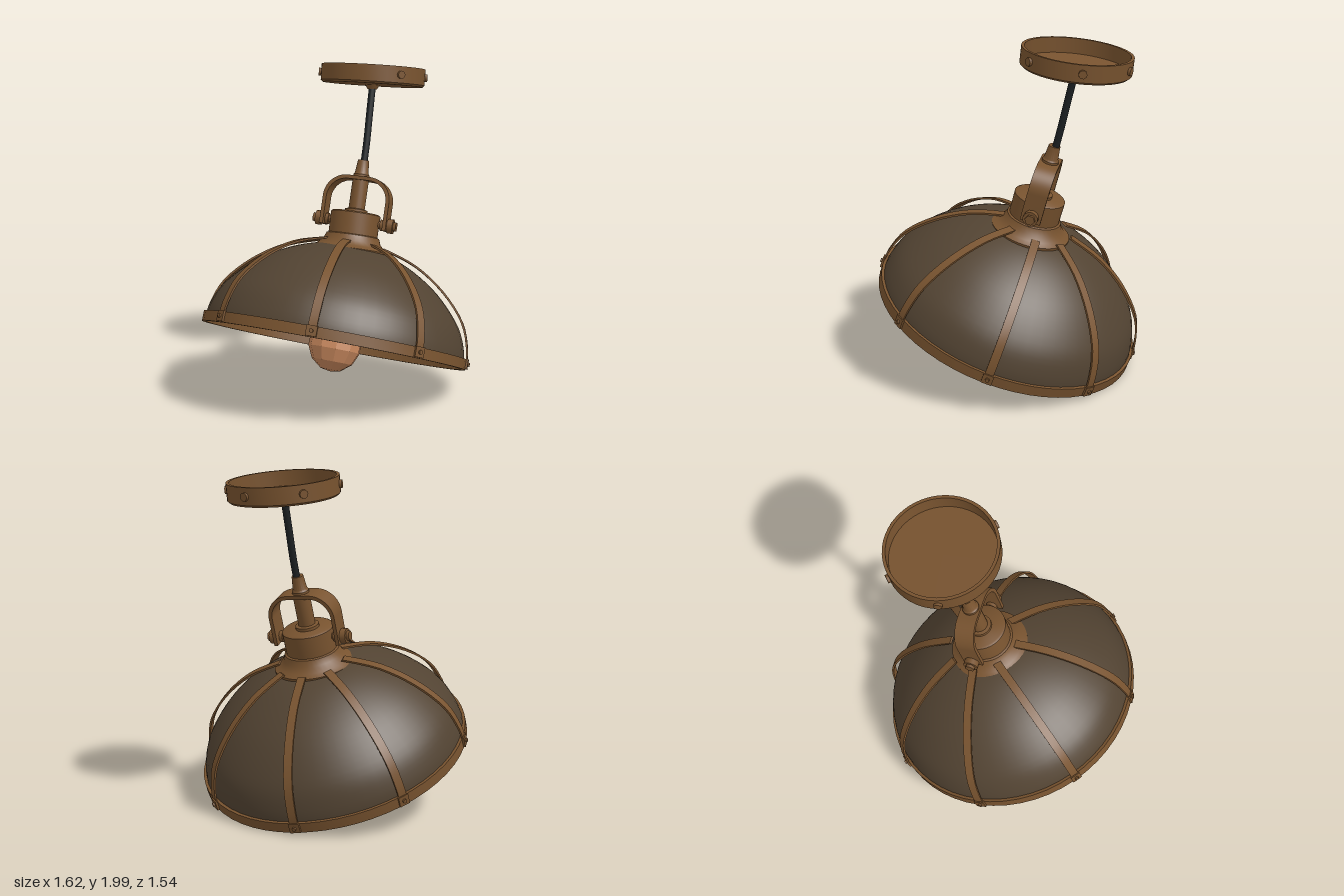
import * as THREE from 'three';
import { toCreasedNormals } from 'three/addons/utils/BufferGeometryUtils.js';

const material = (name, color, extra = {}) => {
  const m = new THREE.MeshStandardMaterial({ color, ...extra });
  m.name = name;
  return m;
};
const V = (p) => new THREE.Vector2(p[0], p[1]);

export function createModel() {
  const bronze = material('bronze', 0x78532f);
  const darkMetal = material('darkMetal', 0x524332);
  const cordBlack = material('cordBlack', 0x1c2022);
  const glass = material('amberGlass', 0xc4855b, { flatShading: true });

  const model = new THREE.Group();
  model.name = 'pendantLamp';

  const add = (parent, name, geo, mat, x = 0, y = 0, z = 0) => {
    const mesh = new THREE.Mesh(geo, mat);
    mesh.name = name;
    mesh.position.set(x, y, z);
    parent.add(mesh);
    return mesh;
  };
  // Profile listed from bottom axis outward and up
  const lathe = (points, sides = 40) =>
    toCreasedNormals(new THREE.LatheGeometry(points.map(V), sides), 0.6);
  // The lamp hangs in sections, each tipped further back than the one above
  const section = (name, x, y, z, tilt) => {
    const g = new THREE.Group();
    g.name = name;
    g.position.set(x, y, z);
    g.rotation.x = -THREE.MathUtils.degToRad(tilt);
    model.add(g);
    return g;
  };

  // ---- Shade: dark outer dome, bronze lining, rim and straps
  const shade = section('shade', 0, 0.302, 0.005, 21);
  const dome = new THREE.SplineCurve(
    [[0.795, 0], [0.782, 0.11], [0.72, 0.25], [0.57, 0.412], [0.39, 0.53], [0.2, 0.6], [0, 0.615]].map(V)
  ).getPoints(28);
  dome[dome.length - 1].x = 0;
  add(shade, 'shadeOuter', new THREE.LatheGeometry(dome, 56), darkMetal);
  const lining = dome.map((p) => new THREE.Vector2(p.x * 0.985, p.y * 0.98)).reverse();
  add(shade, 'shadeLining', new THREE.LatheGeometry(lining, 56), bronze);
  add(shade, 'shadeRim', lathe(
    [[0.78, 0.06], [0.78, 0], [0.808, 0], [0.808, 0.062], [0.78, 0.062]], 56), bronze);

  // Straps bowed slightly clear of the dome
  const strapLine = new THREE.SplineCurve(
    [[0.2, 0.635], [0.41, 0.565], [0.6, 0.44], [0.745, 0.28], [0.805, 0.12], [0.812, 0.01]].map(V)
  ).getPoints(20);
  const strapInner = strapLine.map((p) => new THREE.Vector2(p.x - 0.009, p.y - 0.009)).reverse();
  const strapGeo = toCreasedNormals(new THREE.ExtrudeGeometry(
    new THREE.Shape([...strapLine, ...strapInner]), { depth: 0.05, bevelEnabled: false }
  ).translate(0, 0, -0.025), 0.6);
  for (let i = 0; i < 8; i++) {
    const arm = new THREE.Group();
    arm.name = 'strap' + (i + 1);
    arm.rotation.y = THREE.MathUtils.degToRad(20.5 + i * 45 - 90);
    add(arm, 'strapBand', strapGeo, bronze);
    add(arm, 'strapFoot', new THREE.BoxGeometry(0.018, 0.06, 0.062), bronze, 0.81, 0.035, 0);
    const rivet = add(arm, 'strapRivet', new THREE.CylinderGeometry(0.012, 0.012, 0.015, 8), bronze, 0.822, 0.035, 0);
    rivet.rotation.z = Math.PI / 2;
    shade.add(arm);
  }

  // ---- Bulb and its socket
  add(shade, 'bulb', new THREE.LatheGeometry(
    [[0, -0.155], [0.06, -0.145], [0.125, -0.095], [0.16, -0.02], [0.158, 0.05],
      [0.135, 0.15], [0.112, 0.26], [0.085, 0.34], [0.06, 0.38]].map(V), 11), glass, 0.02, 0, 0.015);
  add(shade, 'socket', new THREE.CylinderGeometry(0.075, 0.075, 0.24, 20), bronze, 0.02, 0.48, 0.015);

  // ---- Neck: dark seat, flared collar, stem
  const neck = section('neck', 0.02, 0.855, -0.165, 16);
  add(neck, 'collarSeat', new THREE.CylinderGeometry(0.19, 0.2, 0.08, 32), darkMetal, 0, -0.02, 0);
  add(neck, 'collar', lathe(
    [[0, 0], [0.235, 0], [0.237, 0.018], [0.205, 0.035], [0.175, 0.065], [0.162, 0.1], [0.15, 0.105],
      [0.152, 0.235], [0.14, 0.243], [0, 0.243]]), bronze);
  add(neck, 'stem', lathe(
    [[0.07, 0.24], [0.07, 0.26], [0.05, 0.265], [0.05, 0.475], [0.042, 0.485], [0.034, 0.565], [0, 0.565]], 20), bronze);

  // ---- Yoke: an arched strap with a bolt and knob on each side
  const yoke = new THREE.Group();
  yoke.name = 'yoke';
  yoke.rotation.y = 0.28;
  neck.add(yoke);
  const arch = (s, half, top, round, low) => {
    s.moveTo(-half, low);
    s.lineTo(-half, top - round);
    s.absarc(-half + round, top - round, round, Math.PI, Math.PI / 2, true);
    s.absarc(half - round, top - round, round, Math.PI / 2, 0, true);
    s.lineTo(half, low);
    return s;
  };
  const outer = arch(new THREE.Shape(), 0.207, 0.462, 0.14, 0.15).getPoints(10);
  const inner = arch(new THREE.Shape(), 0.185, 0.44, 0.12, 0.15).getPoints(10).reverse();
  add(yoke, 'yokeArch', toCreasedNormals(new THREE.ExtrudeGeometry(
    new THREE.Shape([...outer, ...inner]), { depth: 0.12, bevelEnabled: false }
  ).translate(0, 0, -0.06), 0.6), bronze);
  for (const side of [-1, 1]) {
    const rod = (name, r, length, x, sides) => {
      const m = add(yoke, name, new THREE.CylinderGeometry(r, r, length, sides), bronze, side * x, 0.185, 0);
      m.rotation.z = Math.PI / 2;
    };
    rod('yokeBolt', 0.022, 0.14, 0.18, 12);
    rod('yokeWasher', 0.034, 0.02, 0.172, 12);
    rod('yokeKnob', 0.044, 0.035, 0.225, 12);
    rod('yokeNut', 0.03, 0.02, 0.25, 6);
  }

  // ---- Cord
  const cord = new THREE.CatmullRomCurve3([
    new THREE.Vector3(0.02, 1.38, -0.325), new THREE.Vector3(0.02, 1.5, -0.357),
    new THREE.Vector3(0.016, 1.68, -0.4), new THREE.Vector3(0.013, 1.83, -0.436)]);
  add(model, 'cord', new THREE.TubeGeometry(cord, 16, 0.021, 12), cordBlack);

  // ---- Ceiling canopy: shallow open cup with screws round its wall
  const canopy = section('canopy', 0.012, 1.85, -0.44, 7);
  add(canopy, 'canopyCup', lathe(
    [[0, 0], [0.305, 0], [0.318, 0.012], [0.318, 0.11], [0.3, 0.11], [0.3, 0.02], [0, 0.02]], 48), bronze);
  add(canopy, 'cordGrip', new THREE.CylinderGeometry(0.045, 0.03, 0.03, 16), bronze, 0, -0.012, 0);
  for (const deg of [60, 120, 180, 240, 300]) {
    const spot = new THREE.Group();
    spot.name = 'canopyScrew';
    spot.rotation.y = THREE.MathUtils.degToRad(deg - 90);
    const head = add(spot, 'screwHead', new THREE.CylinderGeometry(0.024, 0.024, 0.02, 10), bronze, 0.322, 0.06, 0);
    head.rotation.z = Math.PI / 2;
    canopy.add(spot);
  }

  return model;
}
